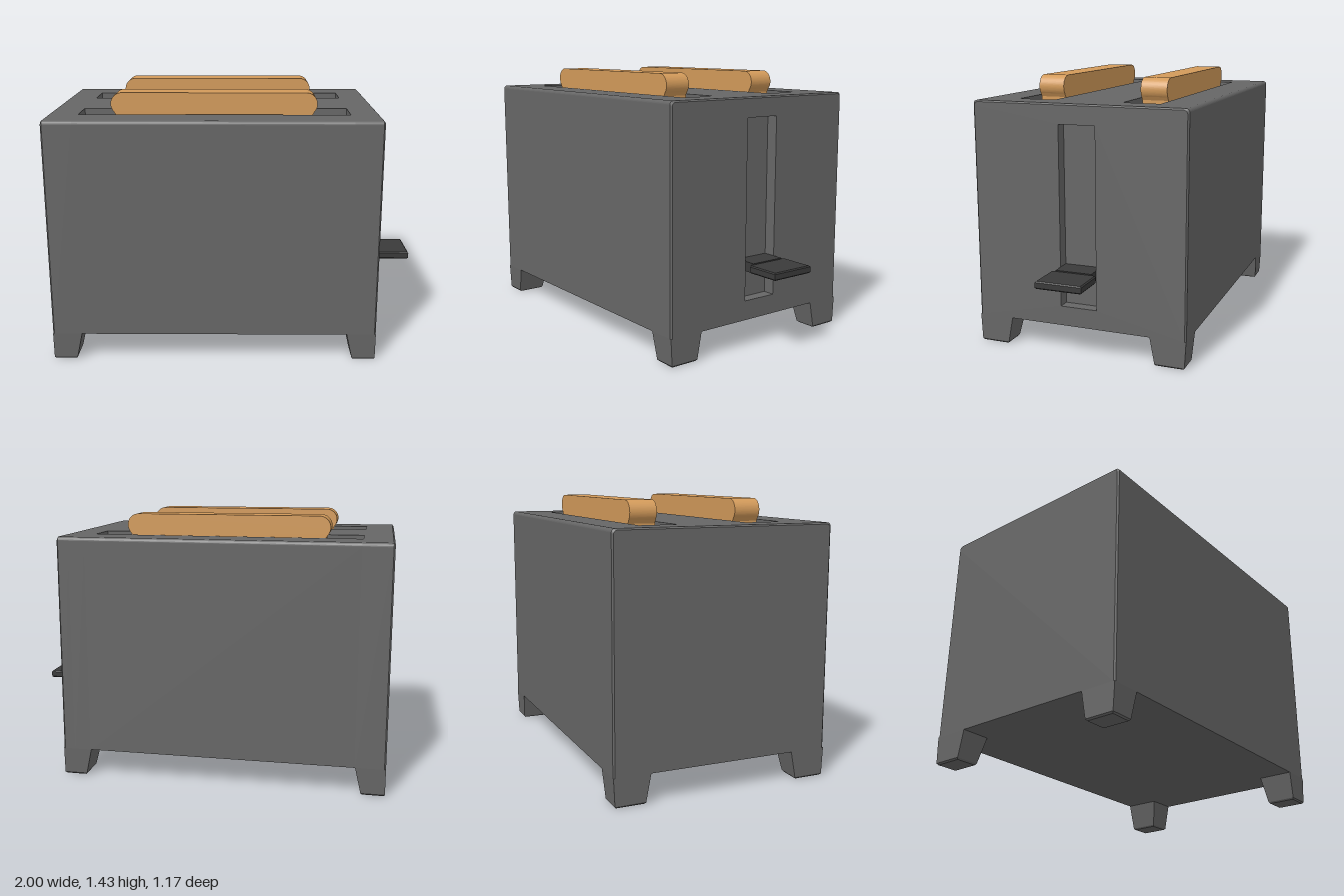
import * as THREE from 'three';

const BODY = 0x666666, LEVER = 0x3a3a3a, TOAST = 0xd29a5a;
const HALF = 0.586, BASE = 0.15, TOP = 1.32, EDGE = 0.02;
const SLOT_IN = 0.19, SLOT_OUT = 0.39, SLOT_FLOOR = 0.35;

function add(parent, name, geometry, color) {
  const mesh = new THREE.Mesh(geometry, new THREE.MeshStandardMaterial({ color }));
  mesh.name = name;
  parent.add(mesh);
  return mesh;
}

// Housing cross-section (z across, y up), optionally notched by the bread slots
function bodySection(notched) {
  const s = new THREE.Shape();
  s.moveTo(-HALF, BASE);
  s.lineTo(HALF, BASE);
  s.lineTo(HALF, TOP - EDGE);
  s.absarc(HALF - EDGE, TOP - EDGE, EDGE, 0, Math.PI / 2);
  if (notched) {
    for (const [a, b] of [[SLOT_OUT, SLOT_IN], [-SLOT_IN, -SLOT_OUT]]) {
      s.lineTo(a, TOP);
      s.lineTo(a, SLOT_FLOOR);
      s.lineTo(b, SLOT_FLOOR);
      s.lineTo(b, TOP);
    }
  }
  s.absarc(-HALF + EDGE, TOP - EDGE, EDGE, Math.PI / 2, Math.PI);
  s.closePath();
  return s;
}

// Section with the vertical lever channel cut through it
function channelSection() {
  const s = bodySection(false);
  const h = new THREE.Path();
  h.moveTo(-0.1, 0.255);
  h.lineTo(-0.1, 1.215);
  h.lineTo(0.1, 1.215);
  h.lineTo(0.1, 0.255);
  h.closePath();
  s.holes.push(h);
  return s;
}

// Extrude a section from x0 to x1; chamferX marks the end whose rim is pulled in
function alongX(shape, x0, x1, chamferX) {
  const g = new THREE.ExtrudeGeometry(shape, { depth: x1 - x0, bevelEnabled: false, curveSegments: 5 });
  g.rotateY(Math.PI / 2).translate(x0, 0, 0);
  if (chamferX !== undefined) {
    const p = g.attributes.position;
    for (let i = 0; i < p.count; i++) {
      if (Math.abs(p.getX(i) - chamferX) > 1e-4) continue;
      const z = p.getZ(i);
      if (Math.abs(z) > 0.5) p.setZ(i, z - Math.sign(z) * 0.008);
      if (p.getY(i) > 1.25) p.setY(i, p.getY(i) - 0.008);
    }
    g.computeVertexNormals();
  }
  return g;
}

// Tapered corner foot: flush on the outer x face, sloping on the inner faces
function footGeometry(sx, sz) {
  const g = new THREE.BoxGeometry(1, 1, 1, 1, 2, 1).toNonIndexed();
  const p = g.attributes.position;
  // rows from bottom to top: y, x inner, x outer, z inner, z outer
  const rows = [
    [0, 0.132, 0.008, 0.426, 0.572],
    [0.008, 0.126, 0, 0.419, 0.579],
    [BASE, 0.158, 0, 0.392, HALF],
  ];
  for (let i = 0; i < p.count; i++) {
    const [y, xi, xo, zi, zo] = rows[Math.round((p.getY(i) + 0.5) * 2)];
    const inset = p.getX(i) * sx > 0 ? xo : (y === 0 ? xi - 0.012 : xi);
    p.setXYZ(i, sx > 0 ? 0.755 - inset : -1 + inset, y, sz * (p.getZ(i) * sz > 0 ? zo : zi));
  }
  g.computeVertexNormals();
  return g;
}

// Bread slice: straight sides with a bulging rounded crown
function toastGeometry() {
  const w = 0.548, r = 0.06, y = 1.372, neck = w - 0.025;
  const s = new THREE.Shape();
  s.moveTo(-neck, 0.4);
  s.lineTo(neck, 0.4);
  s.lineTo(neck, 1.315);
  s.absarc(w - r, y, r, -0.7, Math.PI / 2);
  s.absarc(-w + r, y, r, Math.PI / 2, Math.PI + 0.7);
  s.lineTo(-neck, 1.315);
  s.closePath();
  const g = new THREE.ExtrudeGeometry(s, { depth: 0.145, bevelEnabled: false, curveSegments: 16 });
  return g.translate(-0.122, 0, -0.0725);
}

export function createModel() {
  const model = new THREE.Group();
  model.name = 'toaster';

  // Housing, in slabs along x so that slots and channel stay open
  const housing = new THREE.Group();
  housing.name = 'housing';
  model.add(housing);
  const solid = bodySection(false);
  add(housing, 'leftRim', alongX(solid, -1, -0.992, -1), BODY);
  add(housing, 'leftWall', alongX(solid, -0.992, -0.84), BODY);
  add(housing, 'slottedBody', alongX(bodySection(true), -0.84, 0.6), BODY);
  add(housing, 'rightWall', alongX(solid, 0.6, 0.69), BODY);
  add(housing, 'channelPanel', alongX(channelSection(), 0.69, 0.747), BODY);
  add(housing, 'rightRim', alongX(channelSection(), 0.747, 0.755, 0.755), BODY);

  // Feet
  for (const sx of [-1, 1])
    for (const sz of [-1, 1]) add(model, 'foot', footGeometry(sx, sz), BODY);

  // Toast slices
  for (const sz of [-1, 1]) add(model, 'toast', toastGeometry(), TOAST).position.z = sz * 0.293;

  // Lever: stem in the channel and a flat paddle with clipped inner corners
  const lever = new THREE.Group();
  lever.name = 'lever';
  lever.position.y = 0.443;
  model.add(lever);
  add(lever, 'leverStem', new THREE.BoxGeometry(0.125, 0.052, 0.2), LEVER).position.x = 0.7525;
  const paddle = new THREE.Shape([
    [0.79, -0.094], [0.803, -0.094], [0.82, -0.119], [0.994, -0.119],
    [0.994, 0.119], [0.82, 0.119], [0.803, 0.094], [0.79, 0.094],
  ].map(([x, z]) => new THREE.Vector2(x, z)));
  const paddleGeometry = new THREE.ExtrudeGeometry(paddle, {
    depth: 0.028, bevelSize: 0.006, bevelThickness: 0.006, bevelSegments: 1,
  });
  paddleGeometry.rotateX(-Math.PI / 2).translate(0, -0.014, 0);
  add(lever, 'leverPaddle', paddleGeometry, LEVER);

  return model;
}
